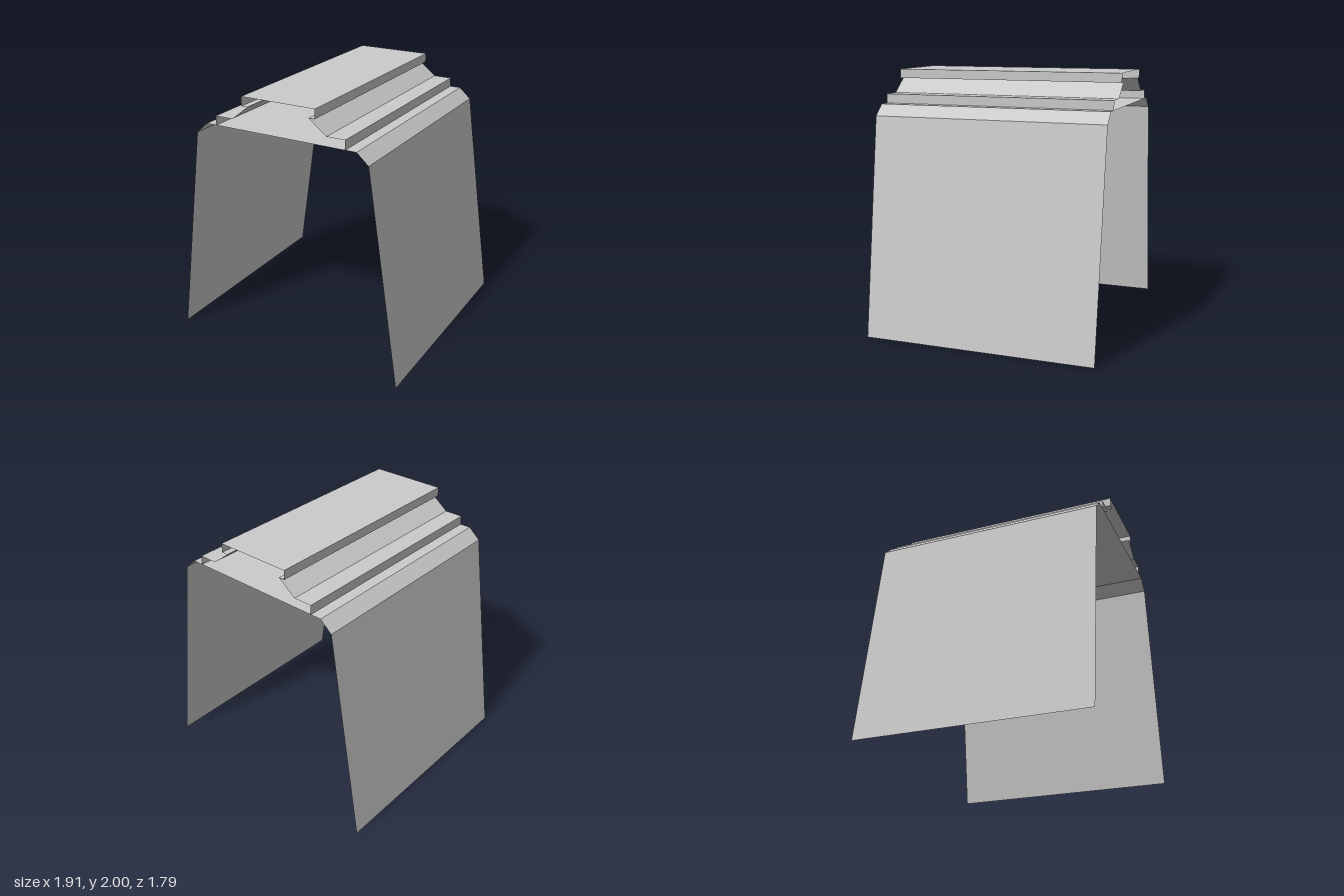
import * as THREE from 'three';

const HALF_LENGTH = 0.893;
const material = new THREE.MeshStandardMaterial({
  color: 0xcccccc, flatShading: true, side: THREE.DoubleSide,
});

// Mirrors the right half of a cross-section to get the full left-to-right outline
function mirrored(half) {
  return [...half.map(([x, y]) => [-x, y]), ...half.slice().reverse()];
}

// Sweeps an open cross-section along z as a thin sheet with open ends
function sheet(name, outline) {
  const positions = [];
  for (let i = 0; i < outline.length - 1; i++) {
    const [ax, ay] = outline[i];
    const [bx, by] = outline[i + 1];
    const a0 = [ax, ay, -HALF_LENGTH], a1 = [ax, ay, HALF_LENGTH];
    const b0 = [bx, by, -HALF_LENGTH], b1 = [bx, by, HALF_LENGTH];
    positions.push(...a0, ...a1, ...b1, ...a0, ...b1, ...b0);
  }
  const geometry = new THREE.BufferGeometry();
  geometry.setAttribute('position', new THREE.Float32BufferAttribute(positions, 3));
  geometry.computeVertexNormals();
  const mesh = new THREE.Mesh(geometry, material);
  mesh.name = name;
  return mesh;
}

export function createModel() {
  const model = new THREE.Group();
  model.name = 'foldedChannel';

  // Splayed side walls, chamfered shoulders and flat deck
  model.add(sheet('wallsAndDeck', mirrored([[0.953, 0], [0.71, 1.67], [0.618, 1.752]])));

  // Stepped rail on the deck: ledge, inward slope, overhanging lip and top plate
  model.add(sheet('topRail', mirrored([
    [0.532, 1.752], [0.532, 1.822], [0.388, 1.822],
    [0.25, 1.93], [0.3, 1.93], [0.3, 2],
  ])));

  return model;
}
